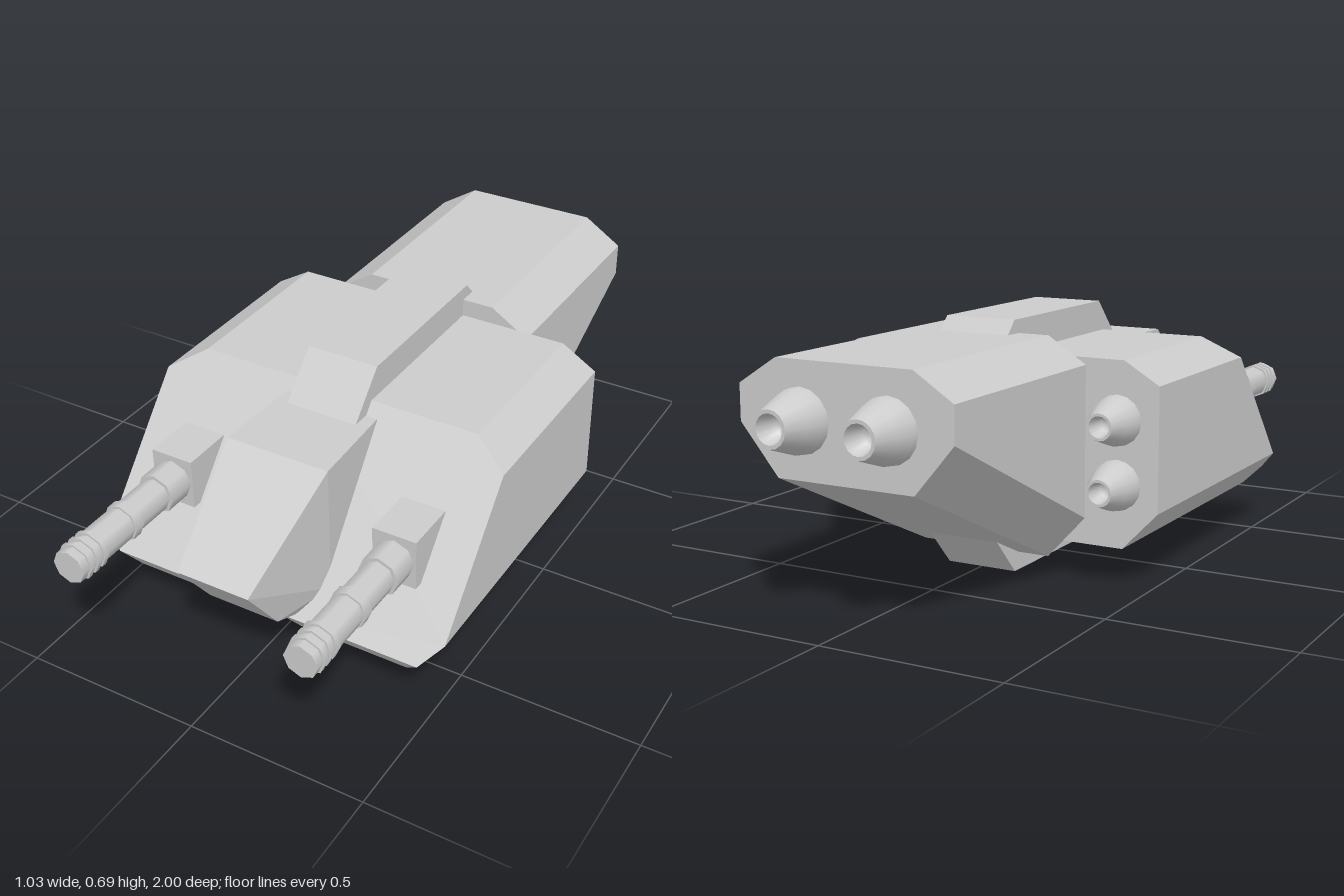
import * as THREE from 'three';
import { ConvexGeometry } from 'three/addons/geometries/ConvexGeometry.js';

const grey = new THREE.MeshStandardMaterial({ color: 0xcccccc });
const flat = new THREE.MeshStandardMaterial({ color: 0xcccccc, flatShading: true });
const double = new THREE.MeshStandardMaterial({ color: 0xcccccc, side: THREE.DoubleSide });

function add(parent, name, geometry, material = flat) {
  const mesh = new THREE.Mesh(geometry, material);
  mesh.name = name;
  parent.add(mesh);
  return mesh;
}

// Faceted solid around a few corner points
const solid = (points) => new ConvexGeometry(points.map((p) => new THREE.Vector3(...p)));
// Repeats corner points on both sides of x = centre
const mirrored = (points, centre = 0) =>
  points.flatMap(([x, y, z]) => [[centre + x, y, z], [centre - x, y, z]]);

// Tapered bell with a hollow end, pointing to -z
function nozzle(parent, name, x, y, z, base, tip, length) {
  const outer = [[1, 0], [0.97, 0.18], [0.82, 0.5]].map(([r, h]) => [base * r, length * h]);
  const parts = [
    [...outer, [tip, length]],
    [[tip, length], [tip * 0.8, length]],
    [[tip * 0.8, length], [tip * 0.55, length * 0.5], [0, length * 0.5]],
  ];
  const group = new THREE.Group();
  group.name = name;
  for (const profile of parts) {
    const g = new THREE.LatheGeometry(profile.map((p) => new THREE.Vector2(...p)), 16);
    add(group, 'nozzleWall', g.rotateX(-Math.PI / 2), double);
  }
  group.position.set(x, y, z);
  parent.add(group);
}

// Mount block with an octagonal ringed barrel
function gun(parent, name, x) {
  const group = new THREE.Group();
  group.name = name;
  add(group, 'gunMount', new THREE.BoxGeometry(0.125, 0.145, 0.15)).position.z = 0.495;
  const sections = [
    ['barrelSleeve', 0.057, 0.56, 0.65],
    ['barrel', 0.047, 0.64, 1.0],
    ['barrelCollar', 0.053, 0.765, 0.795],
    ...[0.914, 0.941, 0.968].map((z) => ['muzzleRing', 0.053, z - 0.007, z + 0.007]),
  ];
  for (const [part, r, z0, z1] of sections) {
    const g = new THREE.CylinderGeometry(r, r, z1 - z0, 8).rotateX(Math.PI / 2);
    add(group, part, g, grey).position.z = (z0 + z1) / 2;
  }
  group.position.set(x, 0.372, 0);
  parent.add(group);
}

export function createModel() {
  const model = new THREE.Group();
  model.name = 'spacecraft';

  // Side pods: eight-sided section, sloped nose with a small lower bevel
  const podSection = [[0.1575, 0.6, 0.28], [0.2575, 0.54, 0.333], [0.2575, 0.205, 0.627], [0.1575, 0.1, 0.64]];
  const podPoints = [
    ...podSection,
    ...podSection.map(([x, y]) => [x, y, -0.23]),
    [0.205, 0.15, 0.675],
  ];

  for (const [side, s] of [['left', 1], ['right', -1]]) {
    add(model, side + 'Pod', solid(mirrored(podPoints, s * 0.2575)));
    gun(model, side + 'Gun', s * 0.338);
    nozzle(model, side + 'UpperPodNozzle', s * 0.397, 0.442, -0.23, 0.068, 0.036, 0.108);
    nozzle(model, side + 'LowerPodNozzle', s * 0.397, 0.27, -0.23, 0.068, 0.036, 0.108);
    nozzle(model, side + 'MainNozzle', s * 0.125, 0.502, -0.88, 0.083, 0.048, 0.12);
  }

  // Rear engine block: the lower faces sweep up toward the back
  add(model, 'engineBlock', solid(mirrored([
    [0.195, 0.65, -0.23], [0.305, 0.58, -0.23], [0.305, 0.17, -0.23], [0.195, 0.05, -0.23],
    [0.195, 0.65, -0.88], [0.305, 0.58, -0.88], [0.305, 0.485, -0.88], [0.195, 0.355, -0.88],
  ])));

  // Central band clasping the pods above and below
  add(model, 'centreBand', solid(mirrored([
    [0.104, 0.687, 0.25], [0.104, 0.56, 0.37], [0.104, 0.13, 0.37], [0.104, 0, 0.25],
    [0.104, 0.687, -0.25], [0.104, 0.56, -0.37], [0.104, 0.13, -0.37], [0.104, 0, -0.25],
  ])));

  // Cockpit: tapers to a narrow nose
  add(model, 'cockpit', solid(mirrored([
    [0.138, 0.57, 0.31], [0.138, 0.2, 0.31], [0.104, 0.13, 0.36],
    [0.15, 0.57, 0.57], [0.15, 0.2, 0.57],
    [0.104, 0.36, 0.87], [0.104, 0.2, 0.75], [0.104, 0.165, 0.67],
  ])));

  return model;
}
